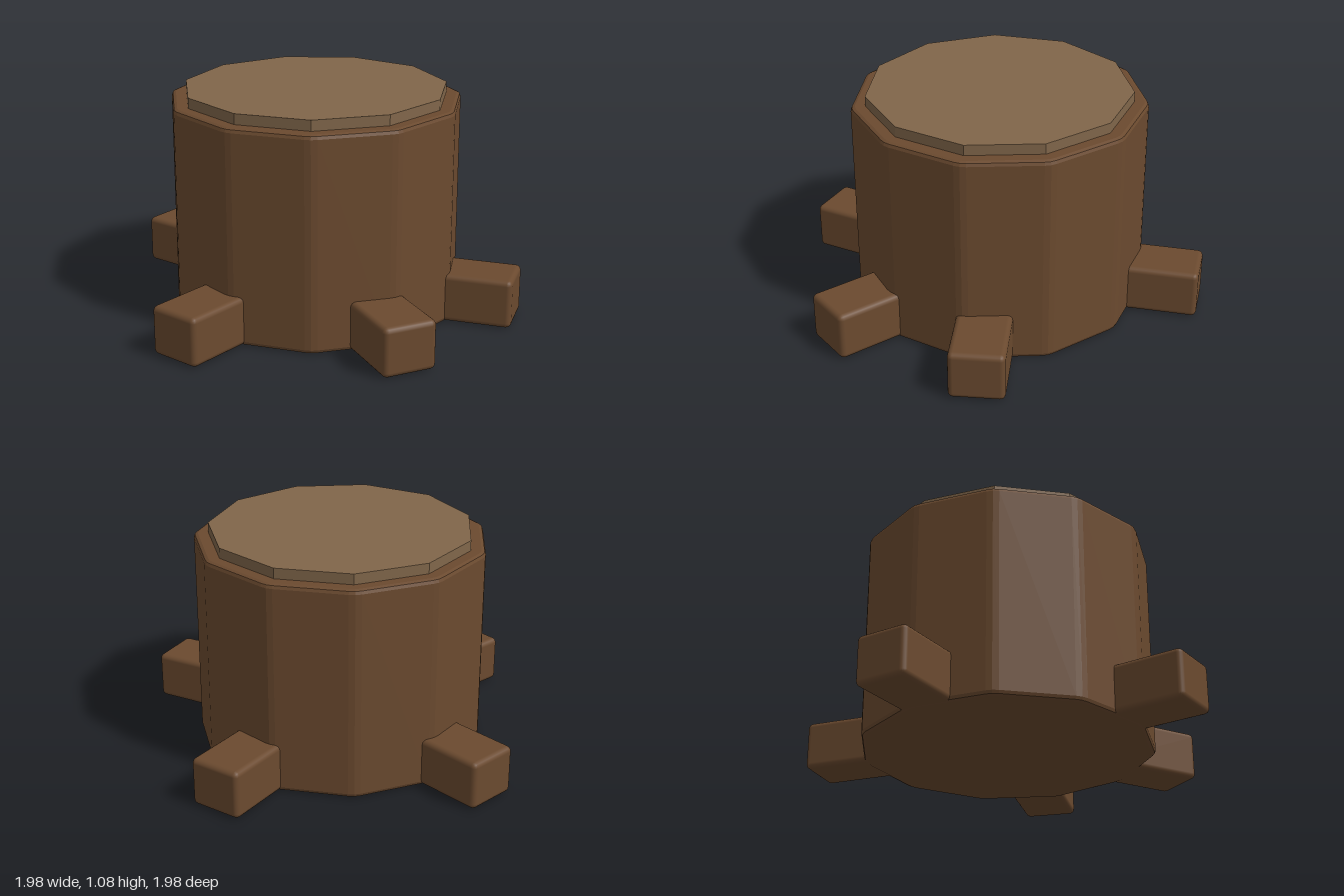
import * as THREE from 'three';
import { RoundedBoxGeometry } from 'three/addons/geometries/RoundedBoxGeometry.js';

const SIDES = 11;
const CENTER = new THREE.Vector2(-0.01, 0.015); // x, z of the trunk axis

// Regular polygon with slightly softened corners, first corner at +y
function softPolygon(radius, soft) {
  const corner = (k) => {
    const a = Math.PI / 2 + (k * 2 * Math.PI) / SIDES;
    return new THREE.Vector2(Math.cos(a), Math.sin(a)).multiplyScalar(radius);
  };
  const shape = new THREE.Shape();
  const t = soft / (2 * radius * Math.sin(Math.PI / SIDES));
  for (let k = 0; k < SIDES; k++) {
    const c = corner(k);
    const a = c.clone().lerp(corner(k - 1), t);
    const b = c.clone().lerp(corner(k + 1), t);
    if (k === 0) shape.moveTo(a.x, a.y);
    else shape.lineTo(a.x, a.y);
    shape.quadraticCurveTo(c.x, c.y, b.x, b.y);
  }
  shape.closePath();
  return shape;
}

export function createModel() {
  const model = new THREE.Group();
  model.name = 'treeStump';
  const bark = new THREE.MeshStandardMaterial({ color: 0x6b4a2f });
  const cutWood = new THREE.MeshStandardMaterial({ color: 0x80664a, flatShading: true });

  // Trunk: bevelled eleven-sided prism
  const height = 1.025, bevel = 0.02;
  const trunkGeo = new THREE.ExtrudeGeometry(softPolygon(0.706, 0.03), {
    depth: height - 2 * bevel,
    bevelEnabled: true,
    bevelThickness: bevel,
    bevelSize: bevel,
    bevelOffset: -bevel,
    bevelSegments: 2,
    curveSegments: 2,
  });
  trunkGeo.rotateX(-Math.PI / 2);
  const trunk = new THREE.Mesh(trunkGeo, bark);
  trunk.name = 'trunk';
  trunk.position.set(CENTER.x, bevel, CENTER.y);
  model.add(trunk);

  // Sawn top: thin disc with a crisp edge, sunk into the trunk
  const top = new THREE.Mesh(
    new THREE.CylinderGeometry(0.633, 0.633, 0.1, SIDES, 1, false, Math.PI),
    cutWood
  );
  top.name = 'cutTop';
  top.position.set(CENTER.x, 1.025, CENTER.y);
  model.add(top);

  // Roots: rounded blocks radiating from the base
  const reach = 1.0, length = 0.5, rootHeight = 0.235;
  const rootGeo = new RoundedBoxGeometry(length, rootHeight, 0.26, 2, 0.025);
  rootGeo.translate(reach - length / 2, rootHeight / 2 + 0.003, 0);
  [0, 0.83, 1.94, 3.47, 4.83].forEach((angle, i) => {
    const root = new THREE.Mesh(rootGeo, bark);
    root.name = `root${i + 1}`;
    root.position.set(CENTER.x, 0, CENTER.y);
    root.rotation.y = -angle;
    model.add(root);
  });

  return model;
}
